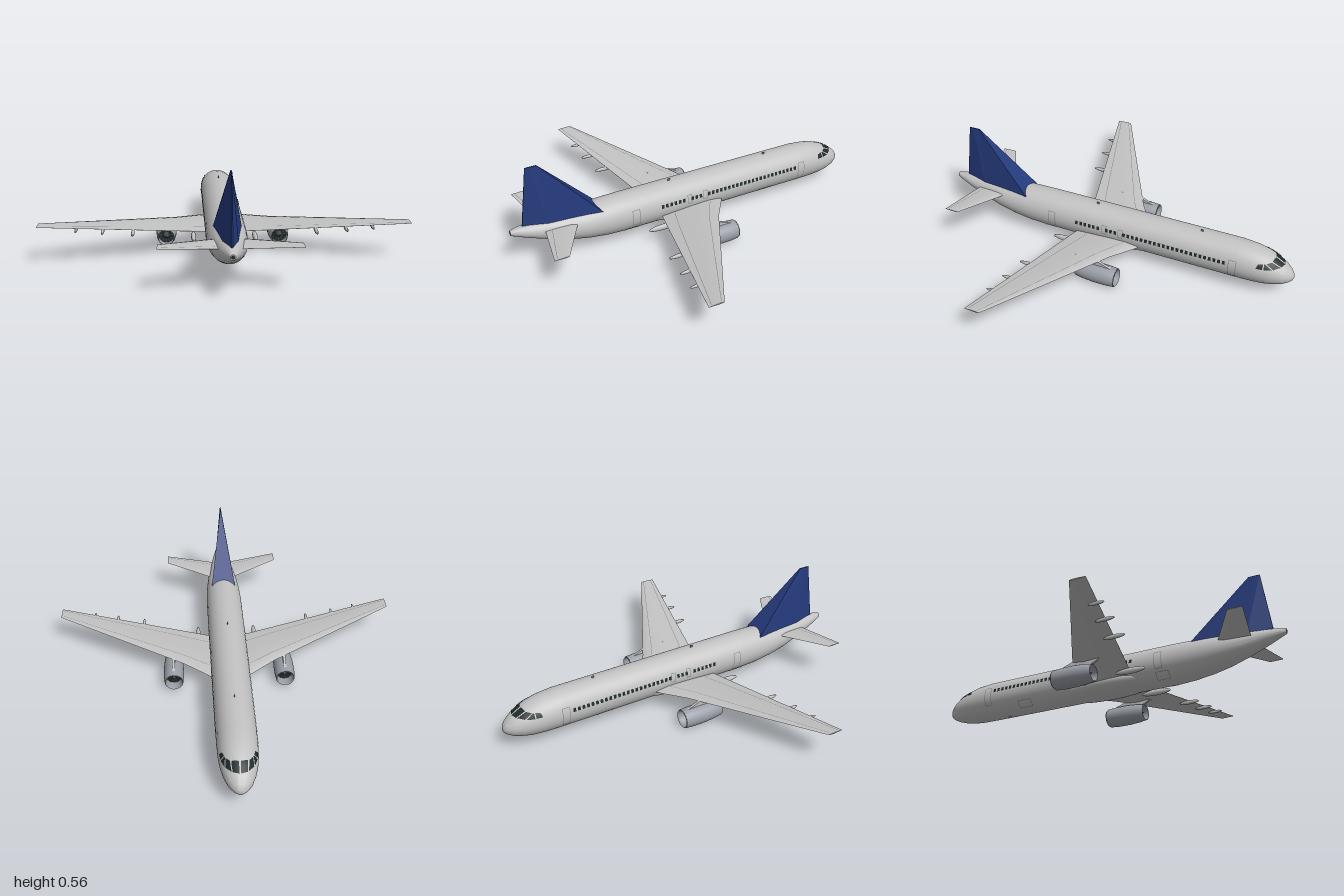
import * as THREE from 'three';
import { toCreasedNormals } from 'three/addons/utils/BufferGeometryUtils.js';

const mat = (name, color, side = THREE.FrontSide) => new THREE.MeshStandardMaterial({ name, color, side });
const skin = mat('light grey skin', 0xc2c2c2);
const blue = mat('navy fin paint', 0x243a7c);
const nacelleGrey = mat('blue grey nacelle', 0x9a9fa8, THREE.DoubleSide);
const glass = mat('dark glass', 0x1f2a2a, THREE.DoubleSide);
const seam = mat('panel line grey', 0x808284, THREE.DoubleSide);
const bladeGrey = mat('fan blade grey', 0x3f4c4a, THREE.DoubleSide);
const RAD = Math.PI / 180;

function add(parent, name, geometry, material) {
  const mesh = new THREE.Mesh(geometry, material);
  mesh.name = name;
  parent.add(mesh);
  return mesh;
}

// Skin over a row of equal closed cross-sections, capped at both ends
function loft(rings, crease = 0.6) {
  const n = rings[0].length, m = rings.length, index = [];
  const pos = rings.flat(2);
  for (let i = 0; i < m - 1; i++) for (let j = 0; j < n; j++) {
    const k = (j + 1) % n, a = i * n + j, d = i * n + k, b = a + n, c = d + n;
    index.push(a, d, c, a, c, b);
  }
  const last = (m - 1) * n;
  for (let j = 1; j < n - 1; j++) index.push(last, last + j, last + j + 1, 0, j + 1, j);
  const g = new THREE.BufferGeometry();
  g.setAttribute('position', new THREE.Float32BufferAttribute(pos, 3));
  g.setIndex(index);
  return toCreasedNormals(g, crease);
}

const lerp = THREE.MathUtils.lerp;
function sample(table, v) {
  let i = 0;
  while (i < table.length - 2 && v > table[i + 1][0]) i++;
  const a = table[i], b = table[i + 1], t = (v - a[0]) / (b[0] - a[0]);
  return a.map((q, k) => lerp(q, b[k], t));
}

// Fuselage stations: z, top, bottom, half width
const body = [
  [-1, 0.131, 0.125, 0.003], [-0.995, 0.147, 0.109, 0.018], [-0.98, 0.167, 0.096, 0.037],
  [-0.95, 0.192, 0.081, 0.06], [-0.9, 0.222, 0.066, 0.08], [-0.85, 0.243, 0.058, 0.092],
  [-0.79, 0.258, 0.054, 0.099], [-0.7, 0.267, 0.053, 0.102], [0.4, 0.267, 0.053, 0.102],
  [0.5, 0.265, 0.059, 0.101], [0.6, 0.26, 0.073, 0.095], [0.7, 0.254, 0.095, 0.083],
  [0.8, 0.248, 0.126, 0.064], [0.9, 0.243, 0.163, 0.043], [0.97, 0.238, 0.191, 0.024], [1, 0.23, 0.203, 0.012]
];
function skinPoint(z, angle, lift = 0) {
  const [, top, bottom, w] = sample(body, z);
  const cy = (top + bottom) / 2, h = (top - bottom) / 2;
  return [(w + lift) * Math.sin(angle), cy + (h + lift) * Math.cos(angle), z];
}

// Thin patch lying on the fuselage between four [z, degrees] corners
function skinPatch(c, n = 3, lift = 0.0022) {
  const pos = [], index = [];
  for (let i = 0; i <= n; i++) for (let j = 0; j <= n; j++) {
    const q = [0, 1].map(k => lerp(lerp(c[0][k], c[1][k], i / n), lerp(c[3][k], c[2][k], i / n), j / n));
    pos.push(...skinPoint(q[0], q[1] * RAD, lift));
    if (i < n && j < n) {
      const a = i * (n + 1) + j, b = a + n + 1;
      index.push(a, b, b + 1, a, b + 1, a + 1);
    }
  }
  const g = new THREE.BufferGeometry();
  g.setAttribute('position', new THREE.Float32BufferAttribute(pos, 3));
  g.setIndex(index);
  g.computeVertexNormals();
  return g;
}
const rect = (z0, z1, a0, a1) => [[z0, a0], [z1, a0], [z1, a1], [z0, a1]];

// Aerofoil: chord fraction and thickness fraction, over the top and back below
const foil = [[0, 0], [0.05, 0.25], [0.2, 0.5], [0.5, 0.42], [0.8, 0.18], [1, 0.02],
  [1, -0.02], [0.6, -0.28], [0.25, -0.48], [0.05, -0.25]];
const foilPoint = ([x, y, le, te, t], [f, h]) => [x, y + h * t, lerp(le, te, f)];
const aerofoil = stations => loft(stations.map(s => foil.map(p => foilPoint(s, p))), 0.5);

// Stations: x, y, leading z, trailing z, thickness
const wing = [[0, 0.11, -0.22, 0.18, 0.042], [0.1, 0.119, -0.165, 0.2, 0.036],
  [0.25, 0.133, -0.06, 0.235, 0.026], [0.94, 0.2, 0.31, 0.392, 0.007]];
const tailplane = [[0, 0.203, 0.63, 0.82, 0.02], [0.06, 0.207, 0.66, 0.835, 0.016], [0.33, 0.225, 0.81, 0.887, 0.005]];

function panelLine(stations, x0, x1, foilIndex) {
  const p = foil[foilIndex], pos = [];
  for (const x of [x0, x1]) for (const dz of [-0.0015, 0.0015]) {
    const q = foilPoint(sample(stations, x), p);
    pos.push(q[0], q[1] + 0.0012, q[2] + dz);
  }
  const g = new THREE.BufferGeometry();
  g.setAttribute('position', new THREE.Float32BufferAttribute(pos, 3));
  g.setIndex([0, 2, 3, 0, 3, 1].reverse());
  g.computeVertexNormals();
  return g;
}

function makeEngine() {
  const e = new THREE.Group();
  e.name = 'engine';
  const profile = [[0.041, -0.08], [0.043, -0.12], [0.047, -0.133], [0.051, -0.126], [0.0545, -0.08],
    [0.055, -0.01], [0.05, 0.055], [0.044, 0.093], [0.041, 0.09], [0.042, 0.03]];
  const shell = new THREE.LatheGeometry(profile.map(p => new THREE.Vector2(...p)), 32).rotateX(Math.PI / 2);
  add(e, 'nacelle', shell, nacelleGrey);
  for (const [z, dir] of [[-0.08, -1], [0.035, 1]]) {
    add(e, 'ductDisc', new THREE.CircleGeometry(0.043, 32), glass).position.z = z;
    const cone = add(e, dir < 0 ? 'spinner' : 'exhaustCone',
      new THREE.ConeGeometry(dir < 0 ? 0.013 : 0.02, dir < 0 ? 0.025 : 0.05, 20), bladeGrey);
    cone.rotation.x = dir * Math.PI / 2;
    cone.position.z = z + dir * (dir < 0 ? 0.012 : 0.025);
    for (let i = 0; i < 12; i++) {
      const blade = new THREE.BoxGeometry(0.004, 0.03, 0.003).translate(0, 0.026, 0);
      const m = add(e, 'fanBlade', blade, bladeGrey);
      m.rotation.z = i * Math.PI / 6;
      m.position.z = z + dir * 0.003;
    }
  }
  e.position.set(0.305, 0.06, 0);
  return e;
}

function makeSide() {
  const s = new THREE.Group();
  add(s, 'wing', aerofoil(wing), skin);
  add(s, 'tailplane', aerofoil(tailplane), skin);
  for (const [i, x0, x1] of [[2, 0.11, 0.25], [2, 0.25, 0.93], [4, 0.11, 0.25], [4, 0.25, 0.93]])
    add(s, 'wingPanelLine', panelLine(wing, x0, x1, i), seam);
  add(s, 'elevatorLine', panelLine(tailplane, 0.07, 0.32, 4), seam);
  s.add(makeEngine());

  // Pylon drawn in side profile as z, y
  const outline = [[-0.11, 0.108], [-0.02, 0.142], [0.1, 0.15], [0.13, 0.132], [0.07, 0.1], [-0.05, 0.1]];
  const pylon = new THREE.ExtrudeGeometry(new THREE.Shape(outline.map(p => new THREE.Vector2(...p))),
    { depth: 0.014, bevelEnabled: false }).rotateY(-Math.PI / 2).translate(0.312, 0, 0);
  add(s, 'enginePylon', pylon, skin);

  // Flap track fairings: x, y, centre z, half length, radius
  for (const [x, y, z, l, r] of [[0.16, 0.1, 0.225, 0.085, 0.013], [0.47, 0.141, 0.29, 0.06, 0.009],
    [0.62, 0.157, 0.318, 0.052, 0.008], [0.75, 0.172, 0.342, 0.043, 0.007]]) {
    const pod = add(s, 'flapFairing', new THREE.SphereGeometry(1, 14, 10), skin);
    pod.scale.set(r, r * 1.3, l);
    pod.position.set(x, y, z);
  }

  // Cabin windows with gaps at the overwing exits
  for (let z = -0.645; z < 0.2; z += 0.0255)
    if (!(z > 0.022 && z < 0.045) && !(z > -0.08 && z < -0.045))
      add(s, 'cabinWindow', skinPatch(rect(z - 0.0075, z + 0.0075, 73, 84), 1), glass);
  // Cockpit panes
  for (const c of [
    [[-0.945, 3], [-0.934, 30], [-0.885, 27], [-0.893, 3]],
    [[-0.93, 34], [-0.9, 54], [-0.86, 44], [-0.883, 31]],
    [[-0.893, 57], [-0.852, 66], [-0.85, 47], [-0.857, 46]],
    [[-0.845, 66], [-0.812, 68], [-0.82, 53], [-0.845, 48]]
  ]) add(s, 'cockpitWindow', skinPatch(c, 5, 0.003), glass);
  // Door outlines: z range, angle range
  const w = 0.0015;
  for (const [z0, z1, a0, a1] of [[-0.71, -0.67, 66, 122], [0.33, 0.37, 66, 115],
    [0.02, 0.045, 66, 92], [-0.075, -0.05, 66, 92], [-0.5, -0.42, 125, 150], [0.33, 0.4, 125, 150]]) {
    for (const z of [z0, z1]) add(s, 'doorEdge', skinPatch(rect(z - w, z + w, a0, a1), 6, 0.0015), seam);
    for (const a of [a0, a1]) add(s, 'doorEdge', skinPatch(rect(z0, z1, a - 0.8, a + 0.8), 1, 0.0015), seam);
  }
  return s;
}

export function createModel() {
  const model = new THREE.Group();
  model.name = 'airliner';

  const rings = body.map(([z]) => Array.from({ length: 48 }, (_, j) => skinPoint(z, -j / 48 * Math.PI * 2)));
  add(model, 'fuselage', loft(rings, 0.9), skin);

  const belly = add(model, 'bellyFairing', new THREE.SphereGeometry(1, 32, 20), skin);
  belly.scale.set(0.104, 0.054, 0.32);
  belly.position.set(0, 0.104, 0.02);

  add(model, 'tailExhaust', new THREE.CircleGeometry(0.009, 20), glass).position.set(0, 0.217, 1.0005);

  // Fin: broad flat front narrowing to a sharp trailing edge
  const finRing = (y, pts) => [...pts.map(([x, z]) => [x, y, z]).reverse(), ...pts.map(([x, z]) => [-x, y, z])];
  add(model, 'tailFin', loft([
    finRing(0.2, [[0.076, 0.49], [0.04, 0.8], [0.004, 0.941]]),
    finRing(0.565, [[0.003, 0.83], [0.003, 0.87], [0.001, 0.89]])
  ].map(r => r.map(p => [...p])), 0.1), blue);

  // Small blade aerials
  for (const [y, z] of [[0.271, 0.11], [0.271, -0.49], [0.05, -0.6]])
    add(model, 'aerial', new THREE.BoxGeometry(0.004, 0.014, 0.014), seam).position.set(0, y, z);

  const left = makeSide(), right = makeSide();
  left.name = 'leftSide';
  right.name = 'rightSide';
  right.scale.x = -1;
  model.add(left, right);
  return model;
}
